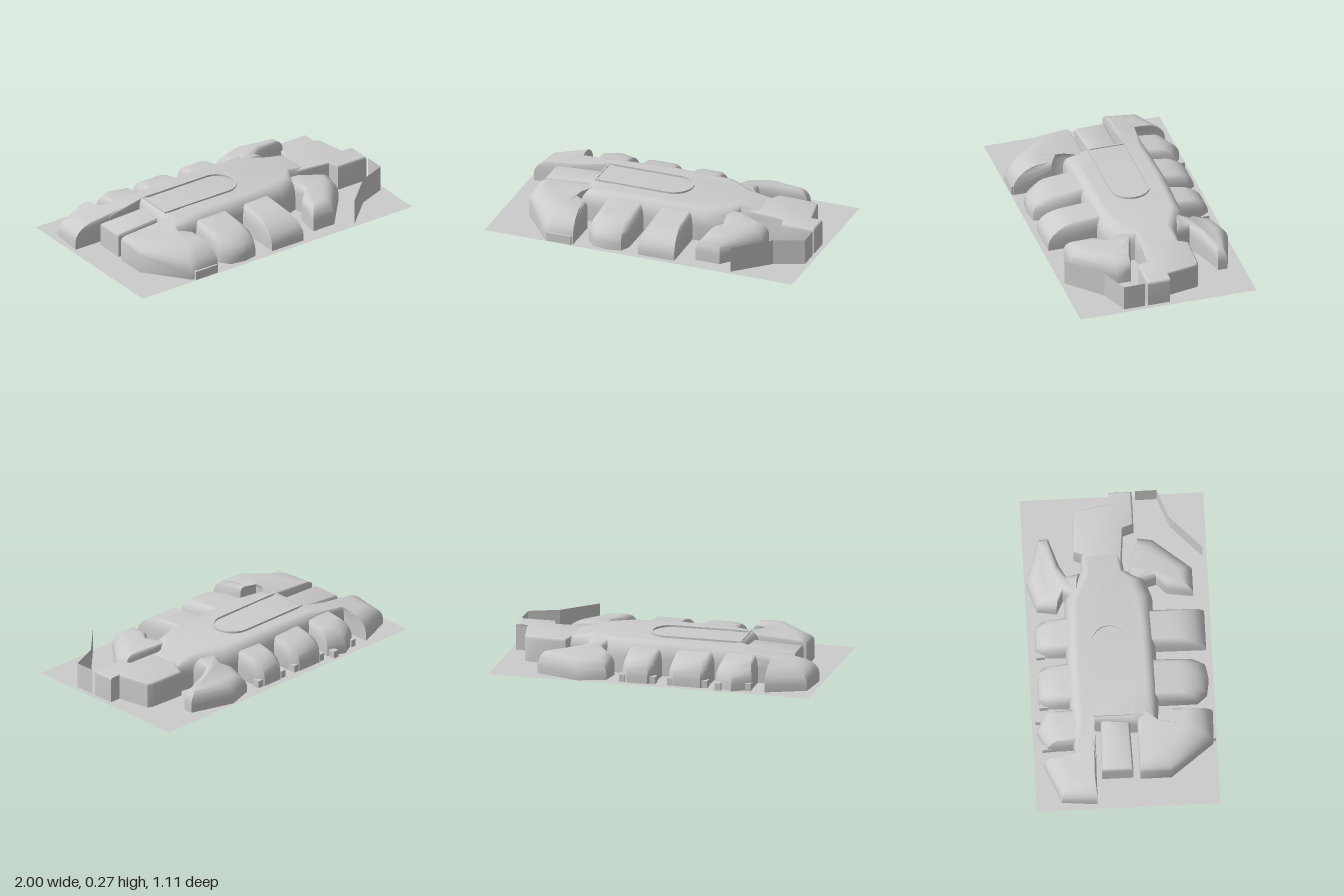
import * as THREE from 'three';
import { toCreasedNormals } from 'three/addons/utils/BufferGeometryUtils.js';

const G = 0.055; // ground level
const mat = new THREE.MeshStandardMaterial({ color: 0xcccccc });
const thin = new THREE.MeshStandardMaterial({ color: 0xcccccc, side: THREE.DoubleSide });

function add(group, name, geo, material = mat) {
  const mesh = new THREE.Mesh(geo, material);
  mesh.name = name;
  group.add(mesh);
  return mesh;
}

function box(group, name, x0, x1, y0, y1, z0, z1) {
  add(group, name, new THREE.BoxGeometry(x1 - x0, y1 - y0, z1 - z0))
    .position.set((x0 + x1) / 2, (y0 + y1) / 2, (z0 + z1) / 2);
}

// Rounded shell: each corner is [baseX, baseZ, roofX, roofZ, roofY, wallY].
// A straight wall rises to wallY, then a quarter ellipse bends over to the roof edge.
function shell(group, name, corners, crease = 0.75) {
  let area = 0;
  corners.forEach((c, i) => {
    const d = corners[(i + 1) % corners.length];
    area += c[0] * d[1] - d[0] * c[1];
  });
  const pts = area > 0 ? corners : [...corners].reverse();
  const n = pts.length, steps = 6, pos = [], idx = [];
  for (const p of pts) pos.push(p[0], G, p[1]);
  for (let s = 0; s <= steps; s++) {
    const a = (s / steps) * Math.PI / 2, k = 1 - Math.cos(a), h = Math.sin(a);
    for (const [bx, bz, tx, tz, ty, wy] of pts)
      pos.push(bx + (tx - bx) * k, wy + (ty - wy) * h, bz + (tz - bz) * k);
  }
  for (let r = 0; r <= steps; r++)
    for (let i = 0; i < n; i++) {
      const a = r * n + i, b = r * n + (i + 1) % n;
      idx.push(a, a + n, b, b, a + n, b + n);
    }
  const roof = pts.map(p => new THREE.Vector2(p[2], p[3]));
  const off = (steps + 1) * n;
  for (const [a, b, c] of THREE.ShapeUtils.triangulateShape(roof, [])) {
    const A = roof[a], B = roof[b], C = roof[c];
    const up = (B.x - A.x) * (C.y - A.y) - (C.x - A.x) * (B.y - A.y) < 0;
    idx.push(off + a, off + (up ? b : c), off + (up ? c : b));
  }
  const geo = new THREE.BufferGeometry();
  geo.setAttribute('position', new THREE.Float32BufferAttribute(pos, 3));
  geo.setIndex(idx);
  add(group, name, toCreasedNormals(geo, crease));
}

// Bay that runs from the hall outward along z; tip gives the outer edge points
function bay(group, name, x0, x1, zIn, tip, roofZ, wall) {
  const i = 0.035, xm = (x0 + x1) / 2;
  const outer = tip.map(([x, z]) => [x, z, xm + (x - xm) * 0.68, roofZ, 0.215, wall]);
  shell(group, name, [
    [x0, zIn, x0 + i, zIn, 0.23, 0.15], ...outer, [x1, zIn, x1 - i, zIn, 0.23, 0.15],
  ]);
}

// Stadium outline with one square end and one round end
function stadium(path, x0, x1, zc, r) {
  path.moveTo(x0, zc - r);
  path.lineTo(x1, zc - r);
  path.absarc(x1, zc, r, -Math.PI / 2, Math.PI / 2, false);
  path.lineTo(x0, zc + r);
  path.closePath();
  return path;
}

export function createModel() {
  const model = new THREE.Group();
  model.name = 'baseComplex';

  // Ground sheet and the block below it
  const ground = add(model, 'groundSheet', new THREE.PlaneGeometry(2, 1.11), thin);
  ground.rotation.x = -Math.PI / 2;
  ground.position.y = G;
  box(model, 'footingBlock', -0.38, 0.015, 0, G, -0.09, -0.027);

  // Central hall
  shell(model, 'mainHall', [
    [-0.52, 0.05, -0.47, 0.05, 0.26, 0.2], [-0.52, 0.2, -0.42, 0.13, 0.245, 0.15],
    [-0.3, 0.22, -0.28, 0.14, 0.258, 0.15], [0.1, 0.21, 0.08, 0.14, 0.258, 0.15],
    [0.3, 0.21, 0.26, 0.12, 0.255, 0.15], [0.42, 0.17, 0.38, 0.08, 0.25, 0.15],
    [0.47, 0.05, 0.45, 0.02, 0.25, 0.15], [0.62, 0.03, 0.58, 0.0, 0.22, 0.17],
    [0.62, -0.2, 0.58, -0.17, 0.22, 0.17], [0.47, -0.22, 0.44, -0.16, 0.25, 0.15],
    [0.3, -0.32, 0.27, -0.24, 0.262, 0.15], [-0.1, -0.33, -0.12, -0.26, 0.262, 0.15],
    [-0.48, -0.32, -0.46, -0.25, 0.25, 0.15], [-0.72, -0.31, -0.68, -0.27, 0.215, 0.15],
    [-0.72, -0.18, -0.68, -0.19, 0.215, 0.19], [-0.5, -0.18, -0.47, -0.18, 0.26, 0.2],
  ]);

  // Raised rim on the hall roof
  const rim = stadium(new THREE.Shape(), -0.48, -0.01, -0.063, 0.122);
  rim.holes.push(stadium(new THREE.Path(), -0.47, -0.01, -0.063, 0.108));
  const rimGeo = new THREE.ExtrudeGeometry(rim, { depth: 0.012, bevelEnabled: false, curveSegments: 20 });
  rimGeo.rotateX(Math.PI / 2);
  add(model, 'roofRim', toCreasedNormals(rimGeo, 0.6)).position.y = 0.266;

  // Corner wing at the front, on the -x side
  shell(model, 'frontCornerWing', [
    [-0.82, 0.08, -0.76, 0.09, 0.22, 0.19], [-0.82, 0.27, -0.66, 0.25, 0.23, 0.17],
    [-0.62, 0.53, -0.55, 0.36, 0.235, 0.09], [-0.58, 0.54, -0.51, 0.37, 0.235, 0.09],
    [-0.43, 0.54, -0.45, 0.37, 0.23, 0.1], [-0.43, 0.3, -0.46, 0.29, 0.23, 0.19],
    [-0.53, 0.27, -0.52, 0.25, 0.235, 0.2], [-0.53, 0.2, -0.51, 0.2, 0.24, 0.2],
    [-0.47, 0.1, -0.45, 0.12, 0.25, 0.2], [-0.48, 0.08, -0.47, 0.09, 0.24, 0.2],
  ]);
  box(model, 'frontCornerStep', -0.6, -0.44, G, 0.11, 0.5, 0.55);

  // Sloping prow at the back, on the -x side
  shell(model, 'backCornerProw', [
    [-0.97, -0.185, -0.8, -0.2, 0.205, 0.11], [-0.95, -0.4, -0.8, -0.31, 0.195, 0.09],
    [-0.71, -0.5, -0.71, -0.36, 0.21, 0.1], [-0.71, -0.31, -0.69, -0.3, 0.22, 0.15],
    [-0.5, -0.31, -0.5, -0.27, 0.24, 0.15], [-0.5, -0.18, -0.5, -0.19, 0.245, 0.2],
  ]);

  // Square block at the -x end, between prow and wing
  shell(model, 'endBlock', [
    [-0.81, -0.15, -0.8, -0.135, 0.205, 0.18], [-0.81, 0.04, -0.8, 0.025, 0.205, 0.18],
    [-0.45, 0.03, -0.45, 0.015, 0.225, 0.2], [-0.45, -0.14, -0.45, -0.125, 0.225, 0.2],
  ]);
  box(model, 'endBlockStep', -0.49, -0.46, G, 0.24, 0.0, 0.1);

  // Front bays
  bay(model, 'frontBayRounded', -0.36, -0.1, 0.14,
    [[-0.36, 0.45], [-0.31, 0.51], [-0.22, 0.525], [-0.13, 0.51], [-0.1, 0.45]], 0.32, 0.1);
  bay(model, 'frontBaySquare', -0.01, 0.215, 0.14, [[-0.015, 0.52], [0.22, 0.52]], 0.3, 0.09);
  shell(model, 'frontBayAngled', [
    [0.38, 0.08, 0.4, 0.08, 0.23, 0.17], [0.42, 0.24, 0.46, 0.22, 0.22, 0.17],
    [0.36, 0.3, 0.42, 0.28, 0.22, 0.16], [0.335, 0.46, 0.41, 0.36, 0.21, 0.12],
    [0.49, 0.46, 0.46, 0.36, 0.21, 0.11], [0.685, 0.23, 0.58, 0.2, 0.215, 0.1],
    [0.685, 0.14, 0.6, 0.14, 0.215, 0.15], [0.48, 0.08, 0.48, 0.09, 0.23, 0.17],
  ]);

  // Back bays
  bay(model, 'backBayPointed', -0.62, -0.4, -0.25,
    [[-0.62, -0.47], [-0.51, -0.53], [-0.4, -0.485]], -0.36, 0.1);
  bay(model, 'backBayWide', -0.355, -0.095, -0.25,
    [[-0.345, -0.47], [-0.31, -0.51], [-0.14, -0.51], [-0.105, -0.47]], -0.36, 0.1);
  bay(model, 'backBayNarrow', -0.03, 0.2, -0.25,
    [[-0.015, -0.47], [0.02, -0.51], [0.15, -0.51], [0.185, -0.47]], -0.36, 0.1);
  shell(model, 'backBayAngled', [
    [0.3, -0.25, 0.33, -0.25, 0.24, 0.16], [0.34, -0.33, 0.37, -0.33, 0.225, 0.16],
    [0.26, -0.37, 0.34, -0.36, 0.2, 0.11], [0.28, -0.49, 0.37, -0.43, 0.18, 0.08],
    [0.45, -0.545, 0.47, -0.45, 0.185, 0.08], [0.72, -0.46, 0.64, -0.43, 0.19, 0.1],
    [0.72, -0.4, 0.65, -0.41, 0.19, 0.12], [0.53, -0.34, 0.5, -0.37, 0.215, 0.15],
    [0.45, -0.3, 0.43, -0.31, 0.22, 0.16], [0.47, -0.22, 0.42, -0.24, 0.24, 0.16],
  ]);

  // Small steps beside the back bays
  for (const [x, z] of [[-0.605, -0.48], [-0.425, -0.515], [-0.335, -0.485], [-0.12, -0.485], [-0.01, -0.485], [0.18, -0.485]])
    box(model, 'backBayStep', x - 0.018, x + 0.018, G, 0.1, z - 0.02, z + 0.03);

  // Docking hall at the +x end
  const dock = [[0.47, 0.03], [0.74, 0.055], [0.76, 0.12], [0.97, 0.12], [0.97, -0.02],
    [0.9, -0.02], [0.86, -0.225], [0.83, -0.24], [0.6, -0.25], [0.57, -0.18], [0.47, -0.15]];
  shell(model, 'dockHall', dock.map(([x, z]) =>
    [x, z, x + (0.76 - x) * 0.06, z + (-0.05 - z) * 0.08, x < 0.6 ? 0.225 : 0.217, 0.2]), 0.5);

  // Thin screen wall around the front of the dock
  const line = [[0.59, 0.53], [0.79, 0.34], [0.97, 0.27], [0.97, 0.14]];
  const wall = new THREE.PlaneGeometry(1, 1, line.length - 1, 1);
  line.forEach(([x, z], i) => {
    wall.attributes.position.setXYZ(i, x, 0.215, z);
    wall.attributes.position.setXYZ(i + line.length, x, G, z);
  });
  add(model, 'screenWall', toCreasedNormals(wall, 0.2), thin);

  return model;
}
